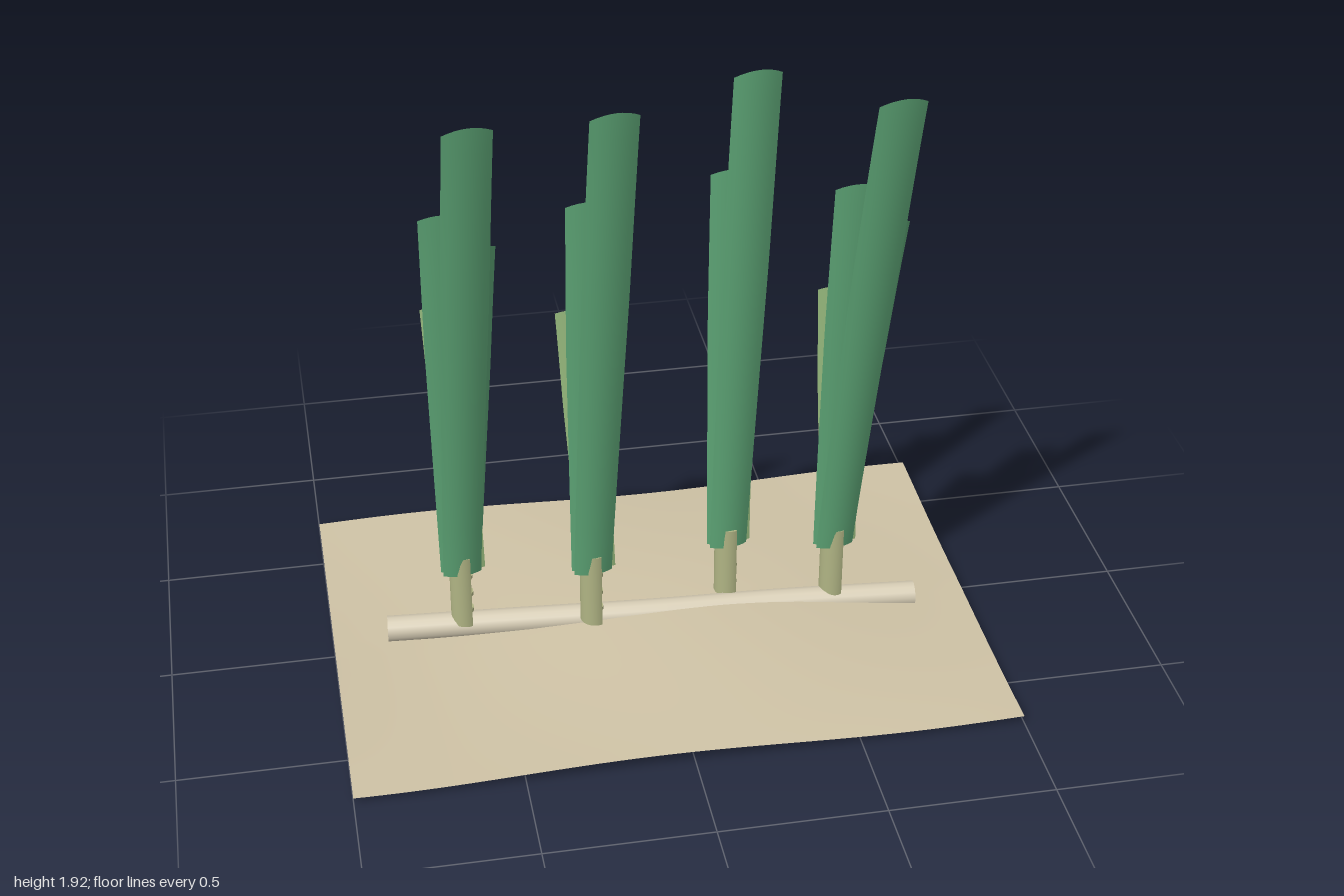
import * as THREE from 'three';

const mat = (name, color, side = THREE.FrontSide) => {
  const m = new THREE.MeshStandardMaterial({ color, side });
  m.name = name;
  return m;
};

// Grid surface from a rule f(u, v) -> [x, y, z]
function gridSurface(nu, nv, f) {
  const pos = [], idx = [];
  for (let j = 0; j <= nv; j++)
    for (let i = 0; i <= nu; i++) pos.push(...f(i / nu, j / nv));
  for (let j = 0; j < nv; j++)
    for (let i = 0; i < nu; i++) {
      const a = j * (nu + 1) + i, b = a + 1, c = a + nu + 1, d = c + 1;
      idx.push(a, b, d, a, d, c);
    }
  const g = new THREE.BufferGeometry();
  g.setAttribute('position', new THREE.Float32BufferAttribute(pos, 3));
  g.setIndex(idx);
  g.computeVertexNormals();
  return g;
}

// Strap-shaped leaf: bowed across, leaning towards the tip, with a blunt rounded end
function bladeGeometry({ base, tip, width, yaw }) {
  const y0 = 0.25, c = Math.cos(yaw), s = Math.sin(yaw);
  return gridSurface(8, 20, (u, t) => {
    const k = u * 2 - 1;
    const w = width * (0.84 + 0.16 * Math.min(1, t * 1.6)) / 2;
    const across = k * w, bow = 0.016 * (1 - k * k);
    const y = y0 + (tip[1] - y0) * t - 0.022 * k * k * t ** 8;
    return [
      base[0] + (tip[0] - base[0]) * t + across * c + bow * s,
      y,
      base[1] + (tip[2] - base[1]) * t ** 1.12 - across * s + bow * c,
    ];
  });
}

export function createModel() {
  const root = new THREE.Group();
  root.name = 'seagrassPatch';
  const sandMat = mat('sand', 0xcfc3a6, THREE.DoubleSide);
  const rhizomeMat = mat('rhizome', 0xd6ccb4);
  const sheathMat = mat('sheath', 0xb0b484);
  const leafMat = mat('leafGreen', 0x5fa878, THREE.DoubleSide);
  const youngMat = mat('leafPale', 0x9abd80, THREE.DoubleSide);

  const add = (parent, name, geo, material, x = 0, y = 0, z = 0) => {
    const m = new THREE.Mesh(geo, material);
    m.name = name;
    m.position.set(x, y, z);
    parent.add(m);
    return m;
  };

  // Rippled sand sheet
  add(root, 'sand', gridSurface(48, 32, (u, v) => {
    const x = u * 2 - 1, z = 0.69 - v * 1.38;
    const y = 0.042 - 0.03 * z * z
      + 0.026 * Math.sin(3.2 * x + 0.9) * Math.cos(2.2 * z)
      + 0.011 * Math.sin(4 * x + 3 * z) * Math.abs(z) / 0.69;
    return [x, y, z];
  }), sandMat);

  // Creeping rhizome with closed ends
  const path = new THREE.CatmullRomCurve3([
    [-0.83, -0.06], [-0.4, -0.03], [0, 0], [0.4, 0.02], [0.83, 0.055],
  ].map(([x, z]) => new THREE.Vector3(x, 0.042, z)));
  add(root, 'rhizome', new THREE.TubeGeometry(path, 40, 0.041, 14), rhizomeMat);
  for (const [t, side] of [[0, -1], [1, 1]]) {
    const p = path.getPoint(t);
    const cap = add(root, 'rhizomeEnd', new THREE.CircleGeometry(0.041, 14), rhizomeMat, p.x, p.y, p.z);
    cap.lookAt(p.clone().addScaledVector(path.getTangent(t), side));
  }

  // Shoots: centre x and z, then tip offsets [dx, dz] of each leaf
  const shoots = [
    { x: -0.585, z: -0.045, top: 1.9, tall: [0.035, 0.3], mid: [-0.03, 0.19], side: [0.062, 0.16], pale: [-0.03, 0.01] },
    { x: -0.188, z: 0.02, top: 1.91, tall: [0.037, 0.235], mid: [-0.015, 0.12], side: [0.052, 0.085], pale: [-0.045, 0.035] },
    { x: 0.25, z: -0.045, top: 1.92, tall: [0.032, 0.12], mid: [-0.015, 0.06], side: [0.045, 0.055], pale: [-0.01, 0.01] },
    { x: 0.577, z: 0.015, top: 1.9, tall: [0.063, 0.275], mid: [-0.015, 0.155], side: [0.085, 0.165], pale: [-0.03, 0.04] },
  ];
  const leaves = [
    { key: 'tall', name: 'tallLeaf', base: [-0.008, 0.022], width: 0.142, yaw: 0.1, material: leafMat },
    { key: 'mid', name: 'middleLeaf', base: [-0.012, 0.008], width: 0.142, yaw: -0.05, material: leafMat },
    { key: 'side', name: 'sideLeaf', base: [0.008, 0.002], width: 0.13, yaw: 0.5, tipY: 1.46, material: leafMat },
    { key: 'pale', name: 'paleLeaf', base: [0.012, -0.012], width: 0.13, yaw: -0.2, tipY: 1.2, material: youngMat },
  ];
  const deg = Math.PI / 180;
  for (const s of shoots) {
    const shoot = new THREE.Group();
    shoot.name = 'shoot';
    shoot.position.set(s.x, 0, s.z);
    root.add(shoot);

    // Split sheath around a ringed stem
    add(shoot, 'sheath',
      new THREE.CylinderGeometry(0.046, 0.046, 0.255, 20, 1, false, 125 * deg, 255 * deg),
      sheathMat, 0, 0.1875, 0);
    add(shoot, 'stem', new THREE.CylinderGeometry(0.02, 0.02, 0.19, 10), sheathMat, 0, 0.155, 0);
    for (const y of [0.1, 0.16, 0.225])
      add(shoot, 'stemRing', new THREE.CylinderGeometry(0.026, 0.026, 0.012, 10), sheathMat, 0, y, 0);

    // Leaves
    for (const l of leaves) {
      const [dx, dz] = s[l.key];
      const tipY = l.key === 'tall' ? s.top : l.tipY ?? 1.59;
      add(shoot, l.name,
        bladeGeometry({ base: l.base, tip: [dx, tipY, dz], width: l.width, yaw: l.yaw }),
        l.material);
    }
  }
  return root;
}
